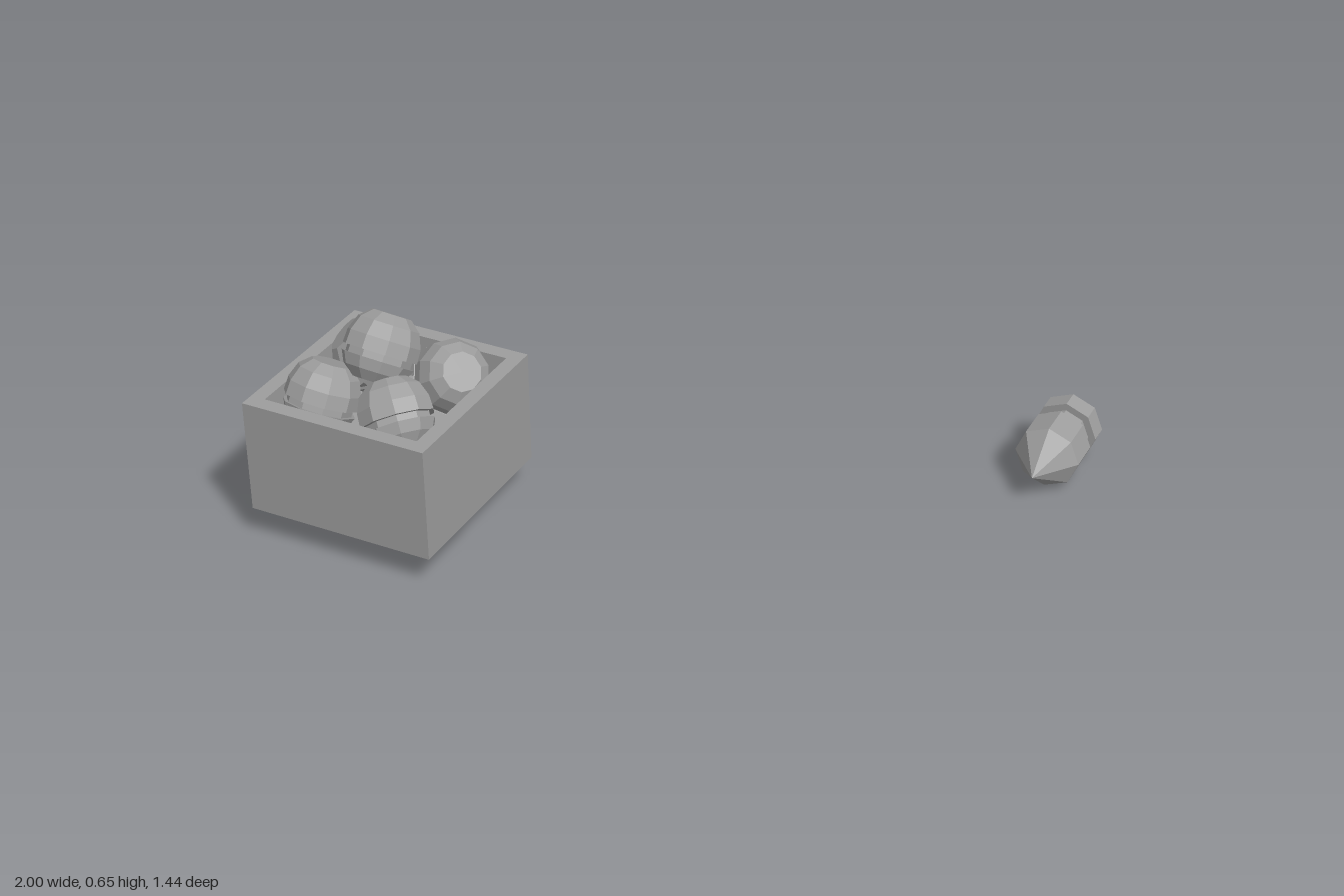
import * as THREE from 'three';

const grey = new THREE.MeshStandardMaterial({ color: 0x9d9d9d, flatShading: true });

function add(parent, geometry, name) {
  const mesh = new THREE.Mesh(geometry, grey);
  mesh.name = name;
  parent.add(mesh);
  return mesh;
}

// Faceted solid of revolution about y; profile runs from bottom to top as [radius, y]
function turned(profile, sides) {
  return new THREE.LatheGeometry(profile.map(([r, y]) => new THREE.Vector2(r, y)), sides);
}

function square(Type, half) {
  const s = new Type();
  s.moveTo(-half, -half);
  s.lineTo(half, -half);
  s.lineTo(half, half);
  s.lineTo(-half, half);
  s.closePath();
  return s;
}

// Open box: one solid base and a square frame for the walls
function createBox() {
  const box = new THREE.Group();
  box.name = 'openBox';
  const outer = 0.2865, inner = 0.242, bottom = 0.098, floor = 0.3, top = 0.442;

  const frame = square(THREE.Shape, outer);
  frame.holes.push(square(THREE.Path, inner));
  const walls = new THREE.ExtrudeGeometry(frame, { depth: top - bottom, bevelEnabled: false });
  walls.rotateX(-Math.PI / 2);
  add(box, walls, 'boxWalls').position.y = bottom;

  const base = new THREE.BoxGeometry(inner * 2, floor - bottom, inner * 2);
  add(box, base, 'boxFloor').position.y = (floor + bottom) / 2;
  box.position.set(-0.7135, 0, 0.4355);
  return box;
}

// Grooved balls with flat ends: position and direction of the upper end
const BALLS = [
  { at: [-0.852, 0.415, 0.302], axis: [-0.6, 0.65, 0.3] },
  { at: [-0.582, 0.415, 0.308], axis: [0.62, 0.55, 0.45] },
  { at: [-0.852, 0.415, 0.552], axis: [0.1, 0.87, -0.45] },
  { at: [-0.615, 0.415, 0.552], axis: [-0.5, 0.7, -0.42] },
  { at: [-0.728, 0.535, 0.43], axis: [0.05, 0.81, -0.57] },
];

function createBalls() {
  const balls = new THREE.Group();
  balls.name = 'balls';
  const geometry = turned([
    [0, -0.096], [0.057, -0.096], [0.09, -0.068], [0.105, -0.036], [0.094, -0.036],
    [0.094, -0.016], [0.108, -0.016], [0.106, 0.025], [0.089, 0.068], [0.057, 0.096], [0, 0.096],
  ], 10);
  const up = new THREE.Vector3(0, 1, 0);
  for (const { at, axis } of BALLS) {
    const ball = add(balls, geometry, 'groovedBall');
    ball.position.set(...at);
    ball.quaternion.setFromUnitVectors(up, new THREE.Vector3(...axis).normalize());
  }
  return balls;
}

// Eight-sided pointed slug lying down with its tip to the front
function createSlug() {
  const geometry = turned([
    [0, -0.722], [0.096, -0.722], [0.096, -0.662], [0.074, -0.662], [0.074, -0.616],
    [0.096, -0.616], [0.096, -0.511], [0, -0.386],
  ], 8);
  geometry.rotateX(Math.PI / 2);
  const slug = new THREE.Mesh(geometry, grey);
  slug.name = 'pointedSlug';
  slug.position.set(0.904, 0.096, 0);
  return slug;
}

export function createModel() {
  const model = new THREE.Group();
  model.name = 'ammunitionBox';
  model.add(createBox(), createBalls(), createSlug());
  return model;
}
